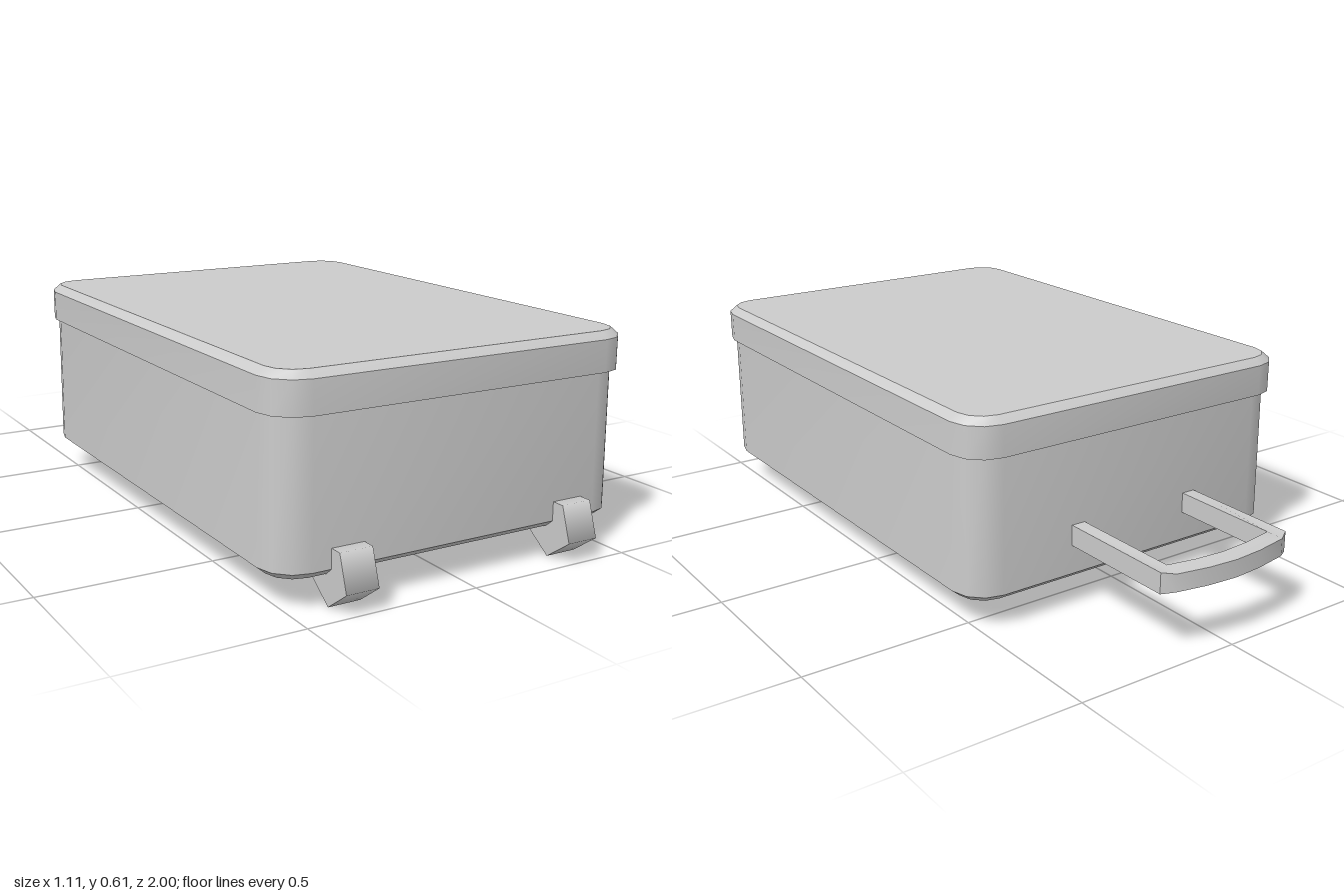
import * as THREE from 'three';
import { toCreasedNormals } from 'three/addons/utils/BufferGeometryUtils.js';

const CREASE = 0.66;
const CENTRE_Z = 0.17;

// Closed loft through rounded rectangles: [y, half width, half length, corner radius]
function loftedBox(sections, steps = 3) {
  const pos = [], index = [], count = 4 * (steps + 1);
  for (const [y, hx, hz, r] of sections) {
    for (let c = 0; c < 4; c++) {
      const sx = c === 0 || c === 3 ? 1 : -1, sz = c < 2 ? 1 : -1;
      for (let i = 0; i <= steps; i++) {
        const a = (c + i / steps) * Math.PI / 2;
        pos.push(sx * (hx - r) + r * Math.cos(a), y, CENTRE_Z + sz * (hz - r) + r * Math.sin(a));
      }
    }
  }
  for (let s = 0; s < sections.length - 1; s++) {
    for (let i = 0; i < count; i++) {
      const a = s * count + i, b = s * count + (i + 1) % count;
      index.push(a, a + count, b, b, a + count, b + count);
    }
  }
  // flat caps
  const top = (sections.length - 1) * count;
  for (let i = 1; i < count - 1; i++) {
    index.push(0, i, i + 1, top, top + i + 1, top + i);
  }
  const geo = new THREE.BufferGeometry();
  geo.setAttribute('position', new THREE.Float32BufferAttribute(pos, 3));
  geo.setIndex(index);
  return toCreasedNormals(geo, CREASE);
}

// Bowed pull handle, drawn in plan (x, distance behind centre) and extruded upwards
function handleGeometry() {
  const shape = new THREE.Shape();
  const outline = [
    [-0.225, 0.57], [-0.183, 0.57], [-0.183, 0.927], [-0.09, 0.943], [0, 0.95], [0.09, 0.943],
    [0.176, 0.927], [0.176, 0.57], [0.219, 0.57], [0.219, 0.953], [0.185, 0.975],
    [0.09, 0.993], [0, 1], [-0.09, 0.993], [-0.19, 0.975], [-0.225, 0.953],
  ];
  shape.setFromPoints(outline.map(([x, d]) => new THREE.Vector2(x, d)));
  const geo = new THREE.ExtrudeGeometry(shape, { depth: 0.06, bevelEnabled: false });
  geo.rotateX(-Math.PI / 2).translate(0, 0.19, 0);
  // slim the far edge of the grip slightly
  const p = geo.attributes.position;
  for (let i = 0; i < p.count; i++) {
    if (p.getZ(i) < -0.97) p.setY(i, 0.22 + (p.getY(i) - 0.22) * 0.85);
  }
  return toCreasedNormals(geo, CREASE);
}

export function createModel() {
  const group = new THREE.Group();
  const material = new THREE.MeshStandardMaterial({ color: 0xcccccc });
  const add = (name, geo) => {
    const mesh = new THREE.Mesh(geo, material);
    mesh.name = name;
    group.add(mesh);
    return mesh;
  };

  // Case with a chamfered bottom edge
  add('caseBody', loftedBox([
    [0.085, 0.521, 0.738, 0.077],
    [0.105, 0.545, 0.762, 0.1],
    [0.55, 0.543, 0.76, 0.1],
  ]));

  // Slightly overhanging lid with a chamfered top edge
  add('lid', loftedBox([
    [0.5, 0.553, 0.775, 0.1],
    [0.59, 0.553, 0.775, 0.1],
    [0.61, 0.53, 0.752, 0.077],
  ]));

  add('pullHandle', handleGeometry());

  // Five-sided wheels, one corner pointing down
  for (const [name, x] of [['rightWheel', -0.345], ['leftWheel', 0.354]]) {
    const geo = new THREE.CylinderGeometry(0.088, 0.088, 0.095, 5);
    geo.rotateY(Math.PI).rotateZ(Math.PI / 2);
    // turn so that a corner sits at the lowest point
    const p = geo.attributes.position;
    const corner = Math.atan2(p.getZ(0), p.getY(0));
    geo.rotateX(Math.PI - corner);
    add(name, geo).position.set(x, 0.088, 0.917);
  }
  return group;
}
